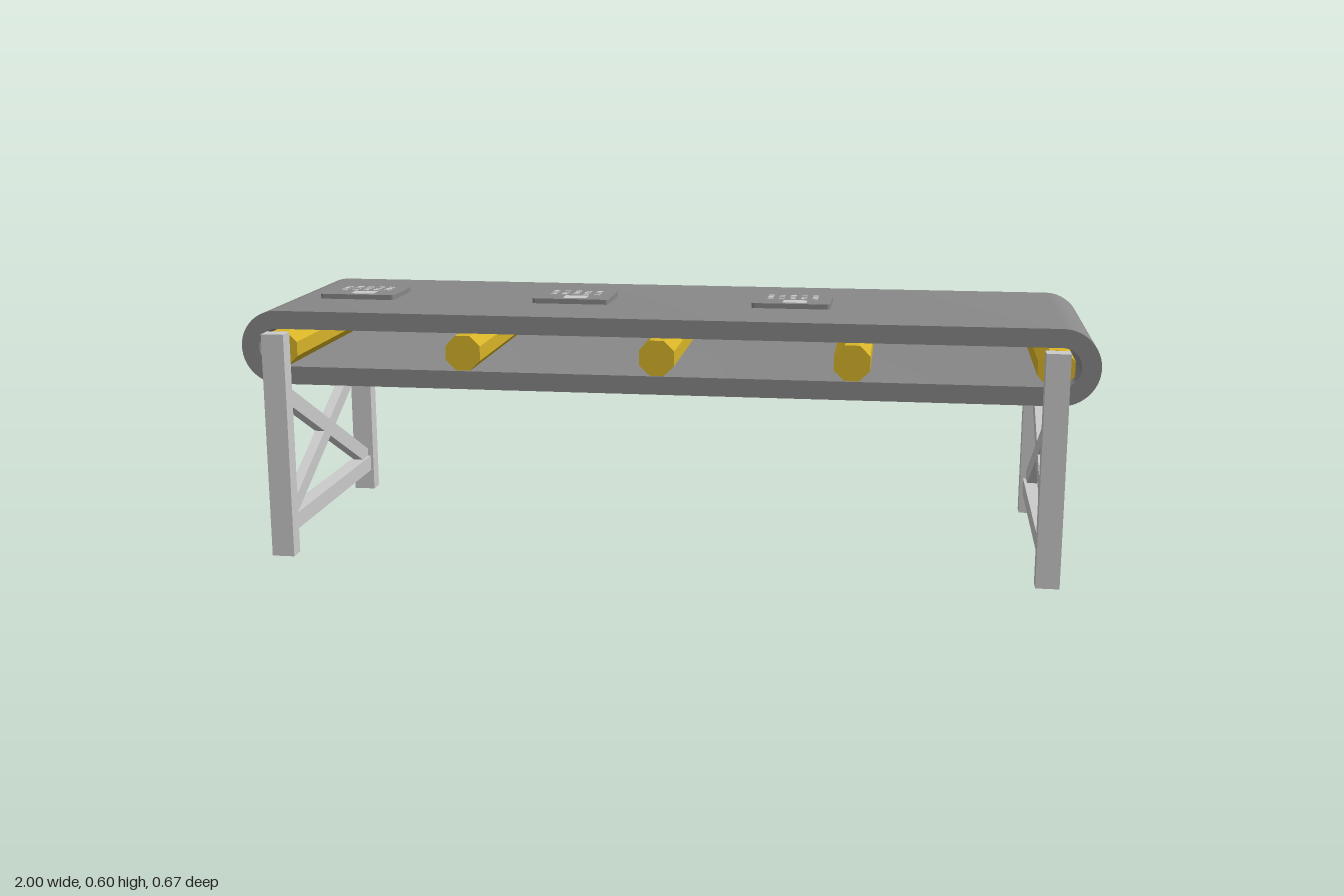
import * as THREE from 'three';
import { toCreasedNormals } from 'three/addons/utils/BufferGeometryUtils.js';

const grey = new THREE.MeshStandardMaterial({ color: 0xcccccc });
const dark = new THREE.MeshStandardMaterial({ color: 0x888888 });
const yellow = new THREE.MeshStandardMaterial({ color: 0xd8b428, flatShading: true });

const AXIS_Y = 0.4975;

function add(parent, name, geometry, material, x = 0, y = 0, z = 0) {
  const mesh = new THREE.Mesh(geometry, material);
  mesh.name = name;
  mesh.position.set(x, y, z);
  parent.add(mesh);
  return mesh;
}

// Trace a slot with round ends: half length between arc centres, radius
function stadium(path, half, r) {
  path.moveTo(-half, -r);
  path.lineTo(half, -r);
  path.absarc(half, 0, r, -Math.PI / 2, Math.PI / 2, false);
  path.lineTo(-half, r);
  path.absarc(-half, 0, r, Math.PI / 2, Math.PI * 1.5, false);
  return path;
}

function roundedRect(w, h, r) {
  const s = new THREE.Shape(), x = w / 2 - r, y = h / 2 - r;
  s.absarc(x, y, r, 0, Math.PI / 2);
  s.absarc(-x, y, r, Math.PI / 2, Math.PI);
  s.absarc(-x, -y, r, Math.PI, Math.PI * 1.5);
  s.absarc(x, -y, r, Math.PI * 1.5, Math.PI * 2);
  return s;
}

// Closed belt loop
function beltGeometry() {
  const shape = stadium(new THREE.Shape(), 0.912, 0.088);
  shape.holes.push(stadium(new THREE.Path(), 0.912, 0.045));
  const g = new THREE.ExtrudeGeometry(shape, { depth: 0.542, bevelEnabled: false, curveSegments: 24 });
  g.translate(0, 0, -0.271);
  return toCreasedNormals(g, 0.5);
}

// End frame: two posts, a low beam and crossed braces
function makeFrame(x) {
  const frame = new THREE.Group();
  frame.name = 'endFrame';
  frame.position.x = x;
  const post = new THREE.BoxGeometry(0.054, 0.54, 0.041);
  for (const s of [1, -1]) add(frame, 'post', post, grey, 0, 0.27, s * 0.3125);
  add(frame, 'lowerBeam', new THREE.BoxGeometry(0.04, 0.04, 0.586), grey, 0, 0.073, 0);

  // Brace ends are cut upright, flush with the posts
  for (const s of [1, -1]) {
    const brace = new THREE.BoxGeometry(0.025, 0.044, 0.586);
    const p = brace.attributes.position;
    for (let i = 0; i < p.count; i++) p.setY(i, p.getY(i) + s * 0.512 * p.getZ(i));
    brace.computeVertexNormals();
    add(frame, 'crossBrace', brace, grey, 0, 0.241, 0);
  }
  return frame;
}

// Flat keypad panel with three rows of keys and a pad
function makePanel(x) {
  const panel = new THREE.Group();
  panel.name = 'keypadPanel';
  panel.position.set(x, AXIS_Y + 0.088, 0);
  const plate = new THREE.ExtrudeGeometry(roundedRect(0.188, 0.148, 0.008),
    { depth: 0.012, bevelEnabled: false, curveSegments: 4 });
  plate.rotateX(-Math.PI / 2);
  add(panel, 'panelPlate', plate, dark);
  const key = new THREE.BoxGeometry(0.013, 0.004, 0.012);
  for (let row = 0; row < 3; row++)
    for (let col = 0; col < 5; col++)
      add(panel, 'key', key, grey, (col - 2) * 0.027, 0.0125, -0.041 + row * 0.023);
  add(panel, 'touchPad', new THREE.BoxGeometry(0.057, 0.002, 0.041), grey, 0.008, 0.012, 0.041);
  return panel;
}

export function createModel() {
  const model = new THREE.Group();
  model.name = 'conveyor';
  add(model, 'belt', beltGeometry(), dark, 0, AXIS_Y, 0);

  // Eight-sided rollers with flats on top
  const roller = new THREE.CylinderGeometry(0.0444, 0.0444, 0.566, 8);
  roller.rotateY(Math.PI / 8);
  roller.rotateX(Math.PI / 2);
  for (const x of [-0.9, -0.457, 0, 0.447, 0.9]) add(model, 'roller', roller, yellow, x, AXIS_Y, 0);

  for (const x of [-0.9, 0.9]) model.add(makeFrame(x));
  for (const x of [-0.777, -0.243, 0.292]) model.add(makePanel(x));
  return model;
}
